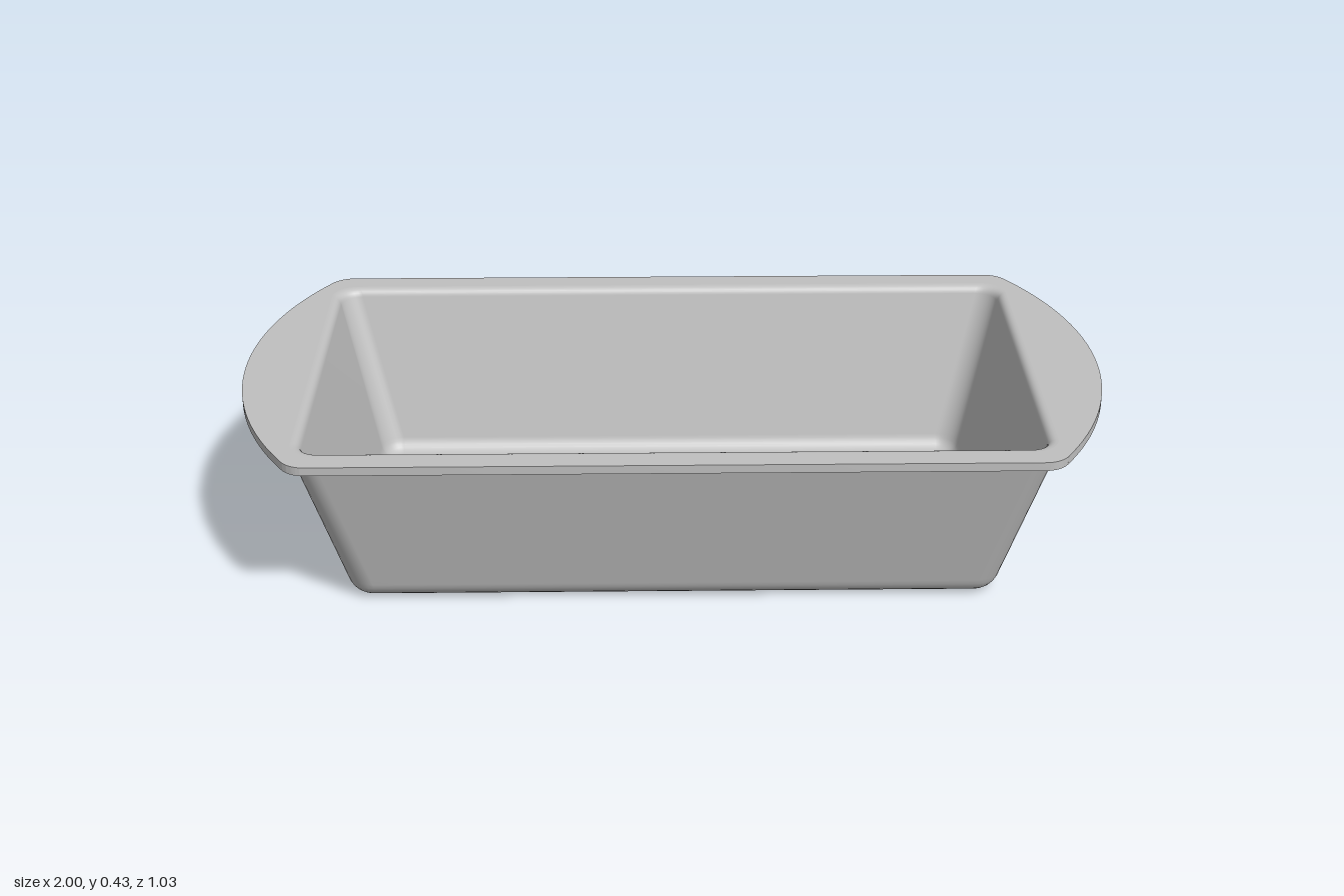
import * as THREE from 'three';
import { toCreasedNormals } from 'three/addons/utils/BufferGeometryUtils.js';

const HX = 0.845, HZ = 0.462;          // half size of the opening
const RIM_TOP = 0.425, RIM_BOTTOM = 0.405, SLOPE = 0.255;

// Rounded rectangle as [x, z] points, running from +x towards +z
function roundedRect(hx, hz, r, steps = 8) {
  const pts = [];
  [[1, 1], [-1, 1], [-1, -1], [1, -1]].forEach(([sx, sz], k) => {
    for (let i = 0; i <= steps; i++) {
      const a = (k + i / steps) * Math.PI / 2;
      pts.push([sx * (hx - r) + r * Math.cos(a), sz * (hz - r) + r * Math.sin(a)]);
    }
  });
  return pts;
}

// Rounded bend of a profile, from a to b around the corner c; points are [inset, y, plan radius]
function bend(a, c, b, steps = 7) {
  const curve = new THREE.QuadraticBezierCurve3(...[a, c, b].map(p => new THREE.Vector3(...p)));
  return curve.getPoints(steps).map(p => p.toArray());
}

// Skin over a stack of rounded rectangles, closed to a centre point at one end
function loft(profile, centreFirst) {
  const rings = profile.map(([inset, y, r]) =>
    roundedRect(HX - inset, HZ - inset, r).map(([x, z]) => [x, y, z]));
  const end = centreFirst ? rings[0] : rings[rings.length - 1];
  const centre = end.map(p => [0, p[1], 0]);
  if (centreFirst) rings.unshift(centre); else rings.push(centre);
  const n = end.length, index = [];
  for (let i = 0; i < rings.length - 1; i++) {
    for (let j = 0; j < n; j++) {
      const a = i * n + j, b = i * n + (j + 1) % n;
      index.push(a, b, a + n, b, b + n, a + n);
    }
  }
  const g = new THREE.BufferGeometry();
  g.setAttribute('position', new THREE.Float32BufferAttribute(rings.flat(2), 3));
  g.setIndex(index);
  g.computeVertexNormals();
  return g;
}

// Flat rim with bowed handle ends and the opening cut out
function rimGeometry() {
  const R = 0.88, cx = 0.12;           // bowed end
  const r = 0.064, kx = 0.8, kz = 0.515 - r; // small corners
  const t = Math.atan2(kz, kx - cx);
  const s = new THREE.Shape();
  s.absarc(cx, 0, R, -t, t, false);
  s.absarc(kx, kz, r, t, Math.PI / 2, false);
  s.absarc(-kx, kz, r, Math.PI / 2, Math.PI - t, false);
  s.absarc(-cx, 0, R, Math.PI - t, Math.PI + t, false);
  s.absarc(-kx, -kz, r, Math.PI + t, Math.PI * 1.5, false);
  s.absarc(kx, -kz, r, -Math.PI / 2, -t, false);
  const hole = roundedRect(HX, HZ, 0.06).map(([x, z]) => new THREE.Vector2(x, z));
  s.holes.push(new THREE.Path(hole));
  const g = new THREE.ExtrudeGeometry(s, {
    depth: RIM_TOP - RIM_BOTTOM, bevelEnabled: false, curveSegments: 20,
  });
  g.rotateX(Math.PI / 2).translate(0, RIM_TOP, 0);
  return toCreasedNormals(g, 0.6);
}

export function createModel() {
  const pan = new THREE.Group();
  pan.name = 'loafPan';
  const metal = new THREE.MeshStandardMaterial({ color: 0xc0c0c0 });
  metal.name = 'grey metal';
  const add = (name, geometry) => {
    const m = new THREE.Mesh(geometry, metal);
    m.name = name;
    pan.add(m);
  };

  add('rim', rimGeometry());

  // Outside: sloping walls, rounded into the base
  const foot = RIM_BOTTOM * SLOPE;
  add('outerShell', loft([
    [0, RIM_BOTTOM, 0.06],
    ...bend([foot - 0.0115, 0.045, 0.065], [foot, 0, 0.053], [foot + 0.047, 0, 0.007]),
  ], false));

  // Inside: floor, rounded up into the walls, then over the lip
  const floorY = 0.02, lip = 0.018;
  const inset = lip + (RIM_TOP - floorY) * SLOPE;
  add('innerShell', loft([
    ...bend([inset + 0.036, floorY, 0.008], [inset, floorY, 0.044],
      [inset - 0.009, floorY + 0.035, 0.053]),
    ...bend([lip + 0.0045, RIM_TOP - 0.018, 0.05], [lip, RIM_TOP, 0.052], [0, RIM_TOP, 0.06]),
  ], true));

  return pan;
}
